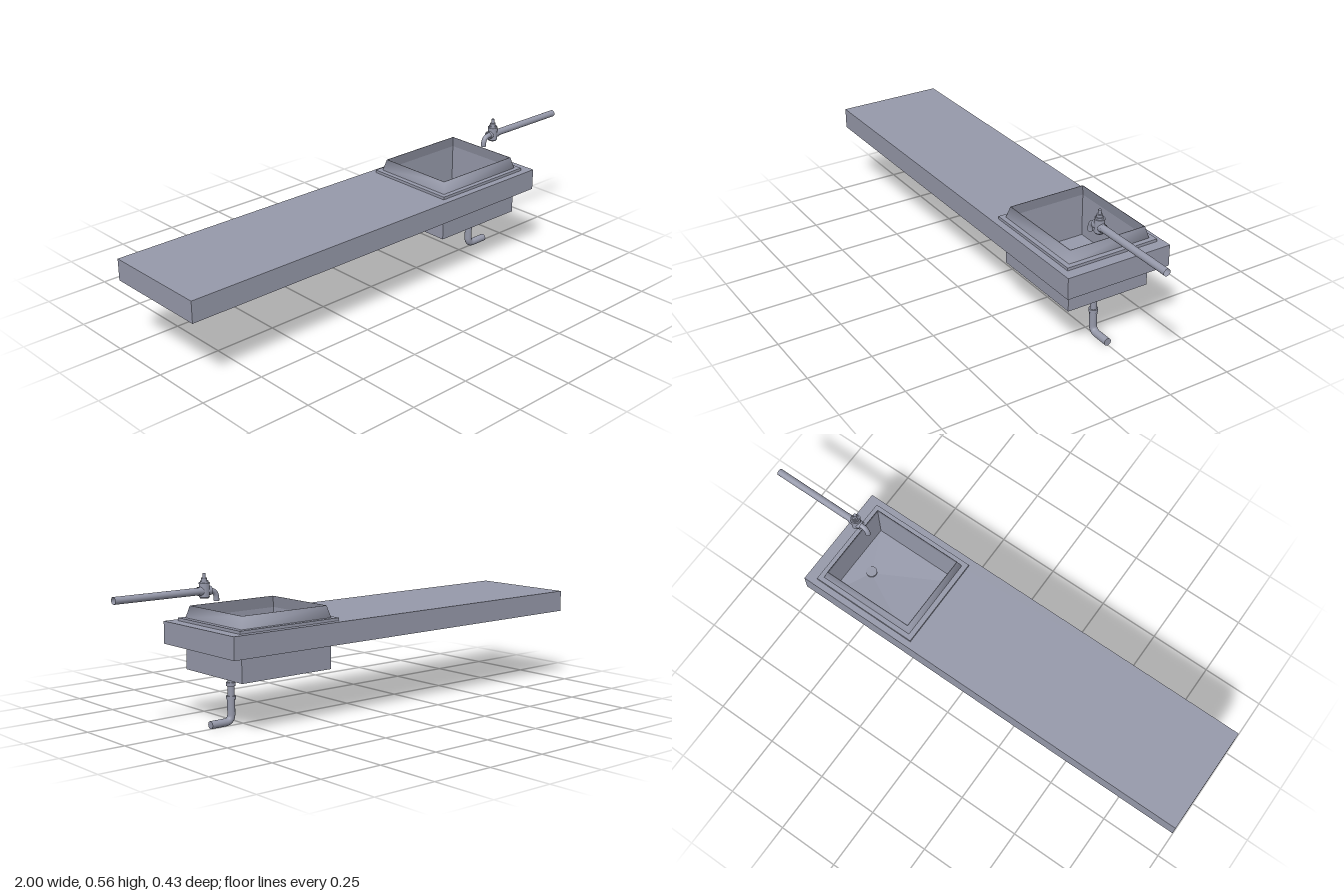
import * as THREE from 'three';

const color = 0x9699aa;
const flat = new THREE.MeshStandardMaterial({ color, flatShading: true, side: THREE.DoubleSide });
const smooth = new THREE.MeshStandardMaterial({ color, side: THREE.DoubleSide });

function add(parent, name, geometry, material, x = 0, y = 0, z = 0) {
  const mesh = new THREE.Mesh(geometry, material);
  mesh.name = name;
  mesh.position.set(x, y, z);
  parent.add(mesh);
  return mesh;
}

// Joins rectangular rings [halfX, halfZ, y, offsetX] into one skin
function loftRectangles(rings) {
  const positions = [];
  const index = [];
  for (const [hx, hz, y, ox = 0] of rings) {
    positions.push(ox - hx, y, hz, ox + hx, y, hz, ox + hx, y, -hz, ox - hx, y, -hz);
  }
  for (let r = 0; r < rings.length - 1; r++) {
    for (let i = 0; i < 4; i++) {
      const a = r * 4 + i;
      const b = r * 4 + ((i + 1) % 4);
      index.push(a, b, b + 4, a, b + 4, a + 4);
    }
  }
  const geometry = new THREE.BufferGeometry();
  geometry.setAttribute('position', new THREE.Float32BufferAttribute(positions, 3));
  geometry.setIndex(index);
  geometry.computeVertexNormals();
  return geometry;
}

// Straight run, quarter bend, straight run
function elbowPipe(start, corner, end, bend, radius) {
  const a = new THREE.Vector3(...start);
  const c = new THREE.Vector3(...corner);
  const b = new THREE.Vector3(...end);
  const p = c.clone().add(a.clone().sub(c).setLength(bend));
  const q = c.clone().add(b.clone().sub(c).setLength(bend));
  const path = new THREE.CurvePath();
  path.add(new THREE.LineCurve3(a, p));
  path.add(new THREE.QuadraticBezierCurve3(p, c, q));
  path.add(new THREE.LineCurve3(q, b));
  return new THREE.TubeGeometry(path, 48, radius, 20);
}

const cylinder = (r, bottom, top) => new THREE.CylinderGeometry(r, r, top - bottom, 24).translate(0, (bottom + top) / 2, 0);

export function createModel() {
  const model = new THREE.Group();
  model.name = 'sinkCounter';
  const sinkX = 0.426;

  // Countertop slab with a cut-out for the basin
  const slab = new THREE.Shape([[-1, -0.217], [0.692, -0.217], [0.692, 0.217], [-1, 0.217]].map(p => new THREE.Vector2(...p)));
  slab.holes.push(new THREE.Path([[0.224, -0.17], [0.224, 0.172], [0.628, 0.172], [0.628, -0.17]].map(p => new THREE.Vector2(...p))));
  const slabGeometry = new THREE.ExtrudeGeometry(slab, { depth: 0.084, bevelEnabled: false }).rotateX(-Math.PI / 2);
  add(model, 'countertop', slabGeometry, flat, 0, 0.288, 0);

  // Basin: outer shell with flange, softly shaded taper, inner walls and floor falling to the drain
  const basin = new THREE.Group();
  basin.name = 'basin';
  basin.position.set(sinkX, 0, -0.0015);
  model.add(basin);
  add(basin, 'basinShell', loftRectangles([
    [0, 0, 0.192],
    [0.202, 0.171, 0.192],
    [0.202, 0.171, 0.372],
    [0.222, 0.191, 0.372],
    [0.222, 0.191, 0.383],
    [0.202, 0.172, 0.383],
  ]), flat);
  add(basin, 'basinRim', loftRectangles([[0.202, 0.172, 0.383], [0.19, 0.16, 0.428]]), smooth);
  add(basin, 'basinInterior', loftRectangles([
    [0.19, 0.16, 0.428],
    [0.188, 0.158, 0.428],
    [0.199, 0.168, 0.383],
    [0.199, 0.168, 0.212],
    [0, 0, 0.198, 0.124],
  ]), flat);

  // Drain with collars and an elbow
  const drain = new THREE.Group();
  drain.name = 'drain';
  drain.position.set(0.55, 0, 0.003);
  model.add(drain);
  add(drain, 'drainCover', cylinder(0.022, 0.194, 0.207), smooth);
  add(drain, 'drainFlange', cylinder(0.022, 0.18, 0.194), smooth);
  add(drain, 'drainTail', cylinder(0.0125, 0.1, 0.19), smooth);
  for (const y of [0.147, 0.097]) add(drain, 'drainCollar', cylinder(0.0175, y, y + 0.013), smooth);
  add(drain, 'drainElbow', elbowPipe([0, 0.105, 0], [0, 0.0145, 0], [0.092, 0.0145, 0], 0.028, 0.0145), smooth);
  add(drain, 'drainPipeEnd', new THREE.CircleGeometry(0.0145, 20).rotateY(Math.PI / 2), smooth, 0.092, 0.0145, 0);

  // Tap: open supply pipe, valve with coupling and downturned spout
  const tap = new THREE.Group();
  tap.name = 'tap';
  tap.position.set(0.628, 0, 0.047);
  model.add(tap);
  const supply = new THREE.CylinderGeometry(0.0135, 0.0135, 0.372, 20, 1, true).rotateZ(Math.PI / 2);
  add(tap, 'supplyPipe', supply, smooth, 0.186, 0.495, 0);
  const coupling = new THREE.CylinderGeometry(0.0165, 0.0165, 0.052, 24, 1, true).rotateZ(Math.PI / 2);
  add(tap, 'valveCoupling', coupling, smooth, 0, 0.495, 0);
  add(tap, 'spout', elbowPipe([0, 0.495, 0], [-0.052, 0.495, 0], [-0.052, 0.455, 0], 0.034, 0.01), smooth);
  const profile = [[0, 0.469], [0.015, 0.469], [0.019, 0.474], [0.019, 0.523], [0, 0.523]];
  add(tap, 'valveBody', new THREE.LatheGeometry(profile.map(p => new THREE.Vector2(...p)), 24), flat);
  const steps = [[0.02, 0.521, 0.525], [0.015, 0.525, 0.532], [0.011, 0.532, 0.542], [0.006, 0.542, 0.559]];
  for (const [r, bottom, top] of steps) add(tap, 'valveStem', cylinder(r, bottom, top), smooth);

  return model;
}
